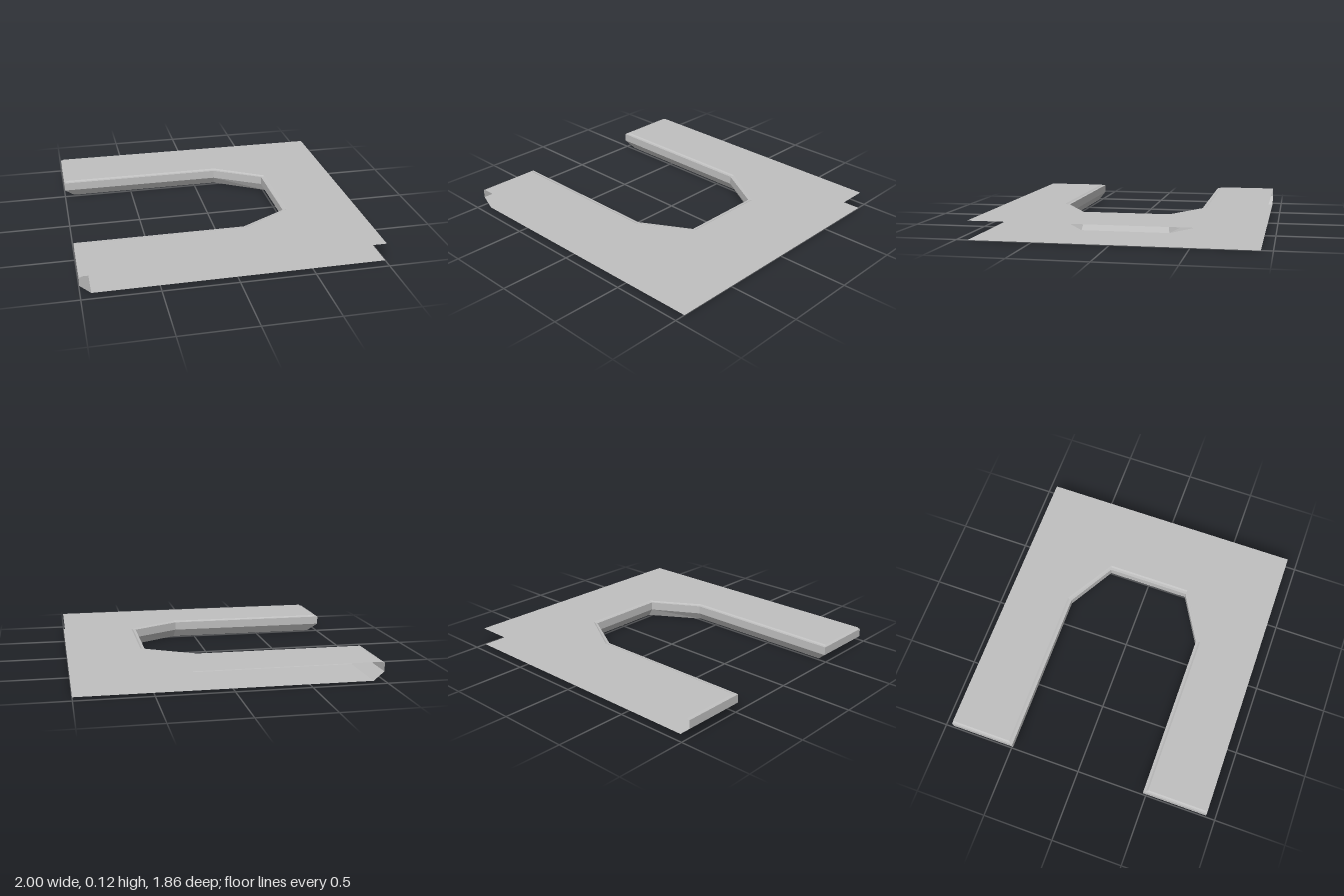
import * as THREE from 'three';

export function createModel() {
  const group = new THREE.Group();
  const grey = new THREE.MeshStandardMaterial({ color: 0xbfbfbf, side: THREE.DoubleSide, flatShading: true });
  grey.name = 'plain grey';

  // Edge levels from bottom to top: height, x of the arm ends, inset of the U opening
  const levels = [
    { y: 0, end: -0.93, d: 0.04 },
    { y: 0.06, end: -1, d: 0 },
    { y: 0.118, end: -1, d: 0 },
    { y: 0.119, end: -0.99, d: 0.018 },
    { y: 0.125, end: -0.98, d: 0.03 },
  ];

  // U outline in (x, z): one arm end, around the opening, to the other arm end
  const outline = ({ end, d }) => {
    const half = [
      [end, 0.932],
      [end, 0.48 + d],
      [0.15 + 0.27 * d, 0.48 + d],
      [0.48 + d, 0.29 + 0.27 * d],
    ];
    return [...half, ...half.map(([x, z]) => [x, -z]).reverse()];
  };

  const add = (name, geometry) => {
    const mesh = new THREE.Mesh(geometry, grey);
    mesh.name = name;
    group.add(mesh);
  };

  // Flat sheet following the outline, closed along the far edge
  const sheet = (name, level) => {
    const points = [...outline(level), [1, -0.925], [1, 0.925]];
    const shape = new THREE.Shape(points.map(([x, z]) => new THREE.Vector2(x, -z)));
    const geometry = new THREE.ShapeGeometry(shape);
    geometry.rotateX(-Math.PI / 2).translate(0, level.y, 0);
    add(name, geometry);
  };
  sheet('bottomSheet', levels[0]);
  sheet('topSheet', levels[levels.length - 1]);

  // Folded edge: strips between neighbouring levels
  const names = ['lowerBevel', 'edgeWall', 'rimLedge', 'rimStep'];
  names.forEach((name, k) => {
    const low = outline(levels[k]), high = outline(levels[k + 1]);
    const positions = [];
    const corner = (loop, i, y) => [loop[i][0], y, loop[i][1]];
    for (let i = 0; i < low.length - 1; i++) {
      const a = corner(low, i, levels[k].y), b = corner(low, i + 1, levels[k].y);
      const c = corner(high, i + 1, levels[k + 1].y), e = corner(high, i, levels[k + 1].y);
      positions.push(...a, ...e, ...c, ...a, ...c, ...b);
    }
    const geometry = new THREE.BufferGeometry();
    geometry.setAttribute('position', new THREE.Float32BufferAttribute(positions, 3));
    // Outward side faces the opening and the arm ends
    for (let i = 0; i < positions.length; i += 9) {
      const p = geometry.attributes.position.array;
      for (let j = 0; j < 3; j++) [p[i + 3 + j], p[i + 6 + j]] = [p[i + 6 + j], p[i + 3 + j]];
    }
    geometry.computeVertexNormals();
    add(name, geometry);
  });

  return group;
}
